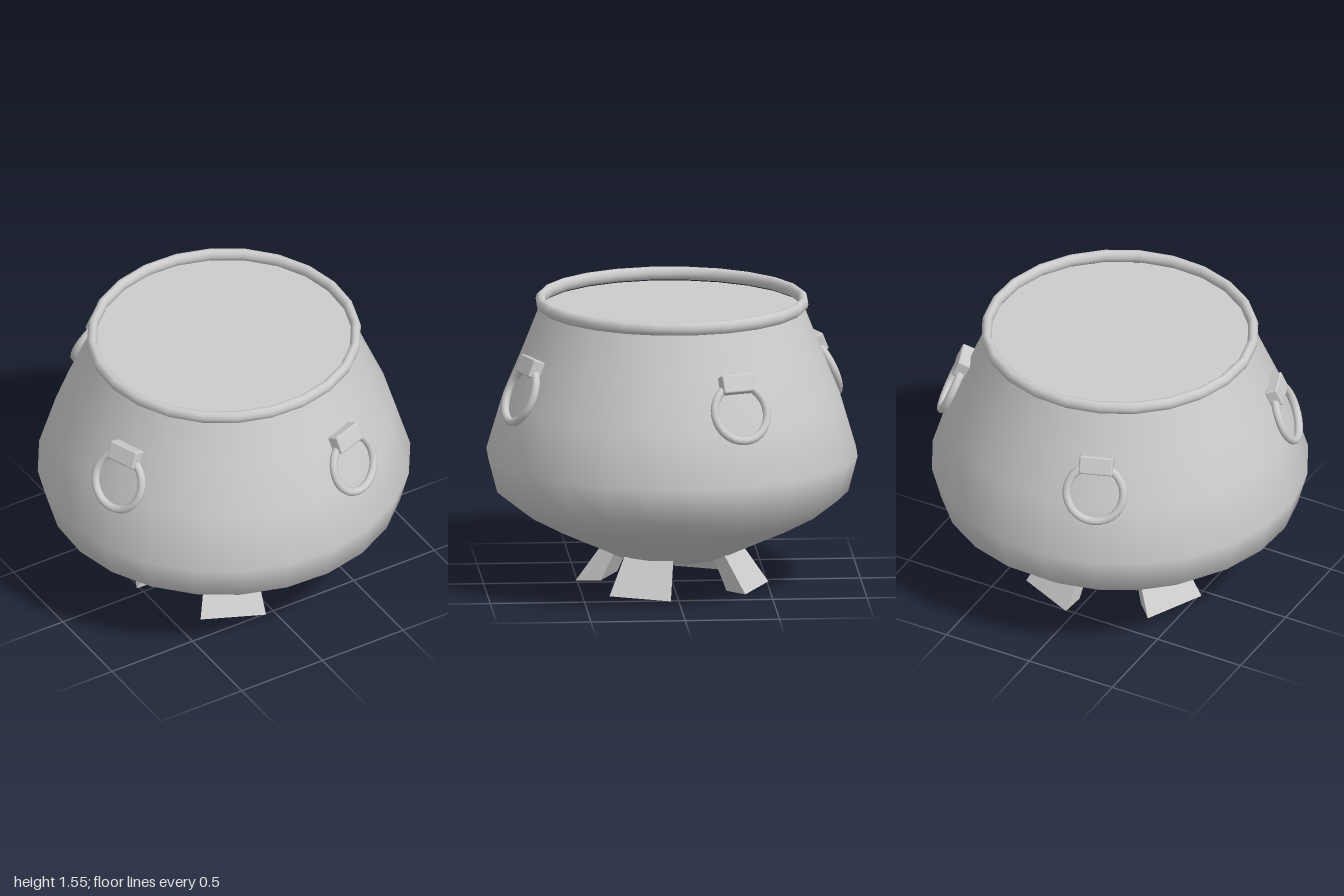
import * as THREE from 'three';
import { RoundedBoxGeometry } from 'three/addons/geometries/RoundedBoxGeometry.js';

const SIDES = 24;
const TILT = -0.4; // lean of the wall where the handles hang

const material = new THREE.MeshStandardMaterial({ color: 0xcccccc });

function part(name, geometry, parent) {
  const mesh = new THREE.Mesh(geometry, material);
  mesh.name = name;
  parent.add(mesh);
  return mesh;
}

// Tapered foot facing +z: wider and further out at the floor
function legGeometry() {
  const geo = new THREE.BoxGeometry(1, 1, 1);
  const pos = geo.attributes.position;
  for (let i = 0; i < pos.count; i++) {
    const top = pos.getY(i) > 0;
    const outer = pos.getZ(i) > 0;
    const halfWidth = top ? (outer ? 0.14 : 0.11) : (outer ? 0.176 : 0.127);
    const reach = top ? (outer ? 0.355 : 0.27) : (outer ? 0.486 : 0.36);
    pos.setXYZ(i, Math.sign(pos.getX(i)) * halfWidth, top ? 0.19 : 0, reach);
  }
  geo.computeVertexNormals();
  return geo;
}

export function createModel() {
  const model = new THREE.Group();
  model.name = 'cauldron';

  // Slightly oval pot, turned on its feet
  const pot = new THREE.Group();
  pot.name = 'pot';
  pot.rotation.y = THREE.MathUtils.degToRad(20);
  pot.scale.set(1.003, 1, 0.984);
  model.add(pot);

  // Bellied body
  const profile = [
    [0, 0.15], [0.3, 0.152], [0.4, 0.2], [0.64, 0.31], [0.81, 0.4], [0.95, 0.51],
    [1, 0.7], [0.91, 1.0], [0.8, 1.26], [0.705, 1.5],
  ].map(([r, y]) => new THREE.Vector2(r, y));
  part('body', new THREE.LatheGeometry(profile, SIDES), pot);

  // Rolled rim
  const rim = part('rim', new THREE.TorusGeometry(0.708, 0.027, 10, SIDES), pot);
  rim.rotation.x = Math.PI / 2;
  rim.scale.z = 1.3;
  rim.position.y = 1.515;

  // Flat surface of the contents
  const contents = part('contents', new THREE.CircleGeometry(0.708, SIDES), pot);
  contents.rotation.x = -Math.PI / 2;
  contents.position.y = 1.475;

  // Four ring handles on brackets, with four feet between them
  const footGeo = legGeometry();
  const ringGeo = new THREE.TorusGeometry(0.152, 0.022, 10, 28);
  const bracketGeo = new RoundedBoxGeometry(0.18, 0.1, 0.07, 2, 0.01);
  for (let k = 0; k < 4; k++) {
    const handle = new THREE.Group();
    handle.name = 'handle';
    handle.rotation.y = k * Math.PI / 2;
    pot.add(handle);

    const ring = part('handleRing', ringGeo, handle);
    ring.position.set(0, 1.085, 0.892);
    ring.rotation.x = TILT;

    const bracket = part('handleBracket', bracketGeo, handle);
    bracket.position.set(0, 1.23, 0.836);
    bracket.rotation.x = TILT;

    part('leg', footGeo, pot).rotation.y = (k + 0.5) * Math.PI / 2;
  }
  return model;
}
